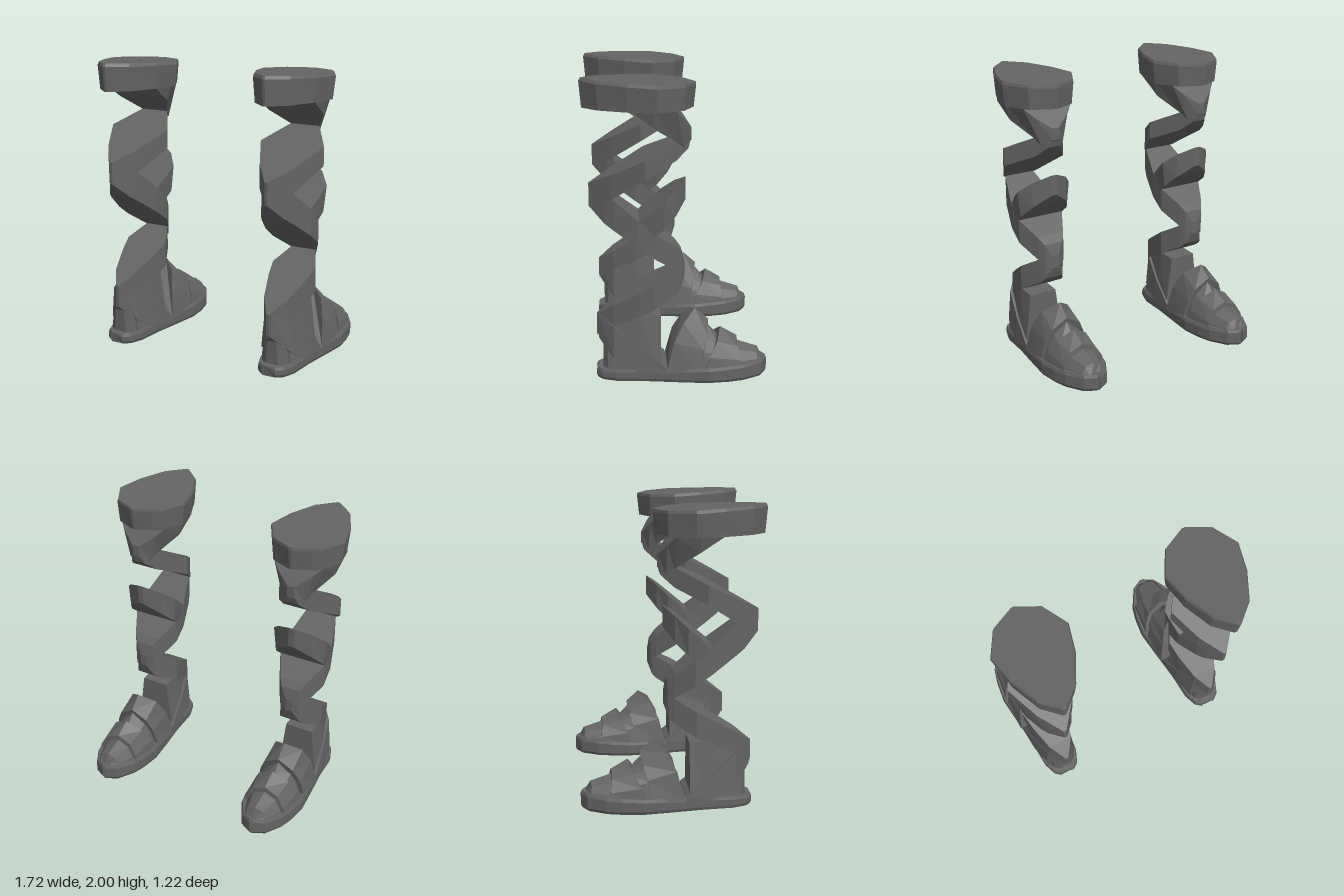
import * as THREE from 'three';

const leather = new THREE.MeshStandardMaterial({ color: 0x646464, flatShading: true });
leather.name = 'dark grey leather';

// Closed solid through rings of points; rings run from +z to -z, each counter-clockwise seen from +z
function loft(name, rings) {
  const pos = [];
  const tri = (a, b, c) => pos.push(...a, ...b, ...c);
  const n = rings[0].length, last = rings[rings.length - 1];
  for (let i = 0; i + 1 < rings.length; i++) {
    for (let j = 0; j < n; j++) {
      const k = (j + 1) % n, p = rings[i], q = rings[i + 1];
      tri(p[j], q[j], p[k]);
      tri(p[k], q[j], q[k]);
    }
  }
  for (let j = 1; j + 1 < n; j++) {
    tri(rings[0][0], rings[0][j], rings[0][j + 1]);
    tri(last[0], last[j + 1], last[j]);
  }
  const geo = new THREE.BufferGeometry();
  geo.setAttribute('position', new THREE.Float32BufferAttribute(pos, 3));
  geo.computeVertexNormals();
  const mesh = new THREE.Mesh(geo, leather);
  mesh.name = name;
  return mesh;
}

// Flat slab: stations are [z, half width, top y, bottom y, bottom half width]
const slab = (name, stations) => loft(name, stations.map(([z, h, t, b, hb = h]) =>
  [[-h, t, z], [-hb, b, z], [hb, b, z], [h, t, z]]));

// Arched plate: each half ring runs from the sole up to the ridge as [x, y, z], then is mirrored
const arch = (name, halves) => loft(name, halves.map((half) =>
  [...half, ...half.slice(0, -1).reverse().map(([x, y, z]) => [-x, y, z])]));

// Knee cuff and the zigzag wraps, from the knee down
function createLegWraps() {
  const leg = new THREE.Group();
  leg.name = 'legWraps';
  leg.add(
    // pointed oval cuff
    loft('kneeCuff', [
      [0.61, 0.01, 0.595], [0.5, 0.13, 0.49], [0.31, 0.22, 0.305],
      [0.12, 0.265, 0.12], [-0.05, 0.17, -0.045], [-0.13, 0.01, -0.115],
    ].map(([z, h, zb]) => {
      const t = 1.975 + z * 0.041, hb = h * 0.93;
      return [[-h, t - 0.02, z], [-hb, 1.81, zb], [hb, 1.81, zb], [h, t - 0.02, z],
        [h * 0.97, t, z * 0.98], [-h * 0.97, t, z * 0.98]];
    })),
    slab('upperWrap', [
      [0.3, 0.21, 1.83, 1.81], [0.15, 0.235, 1.83, 1.71, 0.2], [0, 0.18, 1.81, 1.6, 0.1],
      [-0.05, 0.12, 1.75, 1.56, 0.08], [-0.1, 0.025, 1.68, 1.6]]),
    slab('calfWrap', [
      [0.56, 0.01, 1.32, 1.17], [0.41, 0.125, 1.4, 1.24], [0.2, 0.23, 1.51, 1.385],
      [0, 0.1, 1.61, 1.48], [-0.08, 0.05, 1.65, 1.55], [-0.1, 0.025, 1.68, 1.62]]),
    slab('crossWrap', [
      [0.56, 0.01, 1.3, 1.17], [0.46, 0.085, 1.28, 1.07], [0.4, 0.115, 1.23, 1.03],
      [0.24, 0.165, 1.1, 0.92], [0.13, 0.17, 1.01, 0.845], [0, 0.1, 0.91, 0.75],
      [-0.04, 0.07, 0.86, 0.68], [-0.06, 0.025, 0.78, 0.7]]),
    slab('branchWrap', [
      [0.25, 0.16, 1.09, 1.03], [0.14, 0.19, 1.18, 1.0, 0.17], [0.08, 0.2, 1.23, 1.05, 0.18],
      [0, 0.13, 1.3, 1.13], [-0.065, 0.02, 1.35, 1.21]]),
    slab('ankleWrap', [
      [0.52, 0.01, 0.43, 0.28], [0.41, 0.085, 0.51, 0.36], [0.24, 0.14, 0.61, 0.45],
      [0.14, 0.16, 0.67, 0.5], [0, 0.09, 0.75, 0.58], [-0.03, 0.07, 0.77, 0.61],
      [-0.06, 0.025, 0.76, 0.69]]),
  );
  return leg;
}

// Sole, heel and the straps over the foot
function createFoot() {
  const foot = new THREE.Group();
  foot.name = 'foot';
  foot.add(
    slab('heelStrap', [
      [0.51, 0.01, 0.43, 0.27], [0.41, 0.095, 0.37, 0.15, 0.115],
      [0.25, 0.135, 0.24, 0.07, 0.15], [0.07, 0.165, 0.1, 0.06]]),

    // heel counter and the tall block behind the ankle
    slab('heelCounter', [
      [0.48, 0.03, 0.26, 0.06, 0.05], [0.45, 0.07, 0.26, 0.06, 0.09], [0.3, 0.1, 0.3, 0.06, 0.13]]),
    slab('ankleBlock', [
      [0.42, 0.07, 0.38, 0.06, 0.11], [0.24, 0.1, 0.46, 0.06, 0.14], [0.1, 0.1, 0.45, 0.06, 0.15]]),

    // instep strap and overlapping toe plates
    arch('instepStrap', [
      [[0.175, 0.07, 0.065], [0.145, 0.27, 0.015], [0.105, 0.39, -0.05], [0, 0.46, -0.13]],
      [[0.185, 0.07, -0.155], [0.155, 0.22, -0.18], [0.11, 0.31, -0.205], [0, 0.38, -0.22]]]),
    arch('middleStrap', [
      [[0.16, 0.07, -0.14], [0.13, 0.2, -0.16], [0.09, 0.28, -0.18], [0, 0.35, -0.21]],
      [[0.16, 0.07, -0.3], [0.13, 0.17, -0.29], [0.09, 0.23, -0.28], [0, 0.28, -0.275]]]),
    arch('forefootPlate', [
      [[0.185, 0.07, -0.18], [0.165, 0.17, -0.22], [0.115, 0.26, -0.27], [0, 0.325, -0.3]],
      [[0.165, 0.07, -0.42], [0.15, 0.14, -0.42], [0.1, 0.22, -0.41], [0, 0.26, -0.41]]]),
    arch('toePlate', [
      [[0.16, 0.07, -0.38], [0.14, 0.12, -0.39], [0.09, 0.19, -0.4], [0, 0.23, -0.4]],
      [[0.09, 0.07, -0.55], [0.085, 0.12, -0.545], [0.06, 0.16, -0.54], [0, 0.18, -0.55]],
      [[0.06, 0.07, -0.585], [0.05, 0.11, -0.58], [0.03, 0.12, -0.575], [0, 0.125, -0.57]]]),

    // sole with a bevelled lower edge
    loft('sole', [
      [0.525, 0.05], [0.49, 0.095], [0.4, 0.13], [0.2, 0.145], [-0.05, 0.18], [-0.21, 0.2],
      [-0.35, 0.185], [-0.45, 0.16], [-0.57, 0.09], [-0.612, 0.01],
    ].map(([z, h]) => {
      const t = 0.094 - z * 0.04, hb = h * 0.95, zb = z * 0.98;
      return [[-h * 0.96, t, z * 0.985], [-h, t - 0.02, z], [-h, 0.02, z], [-hb, 0, zb],
        [hb, 0, zb], [h, 0.02, z], [h, t - 0.02, z], [h * 0.96, t, z * 0.985]];
    })),
  );
  return foot;
}

export function createModel() {
  const model = new THREE.Group();
  model.name = 'strappedSandals';
  for (const [name, side] of [['leftSandal', 1], ['rightSandal', -1]]) {
    const sandal = new THREE.Group();
    const foot = createFoot();
    foot.position.x = side * 0.012; // the foot sits slightly outward of the leg
    sandal.add(createLegWraps(), foot);
    sandal.name = name;
    sandal.position.x = side * 0.597;
    model.add(sandal);
  }
  return model;
}
